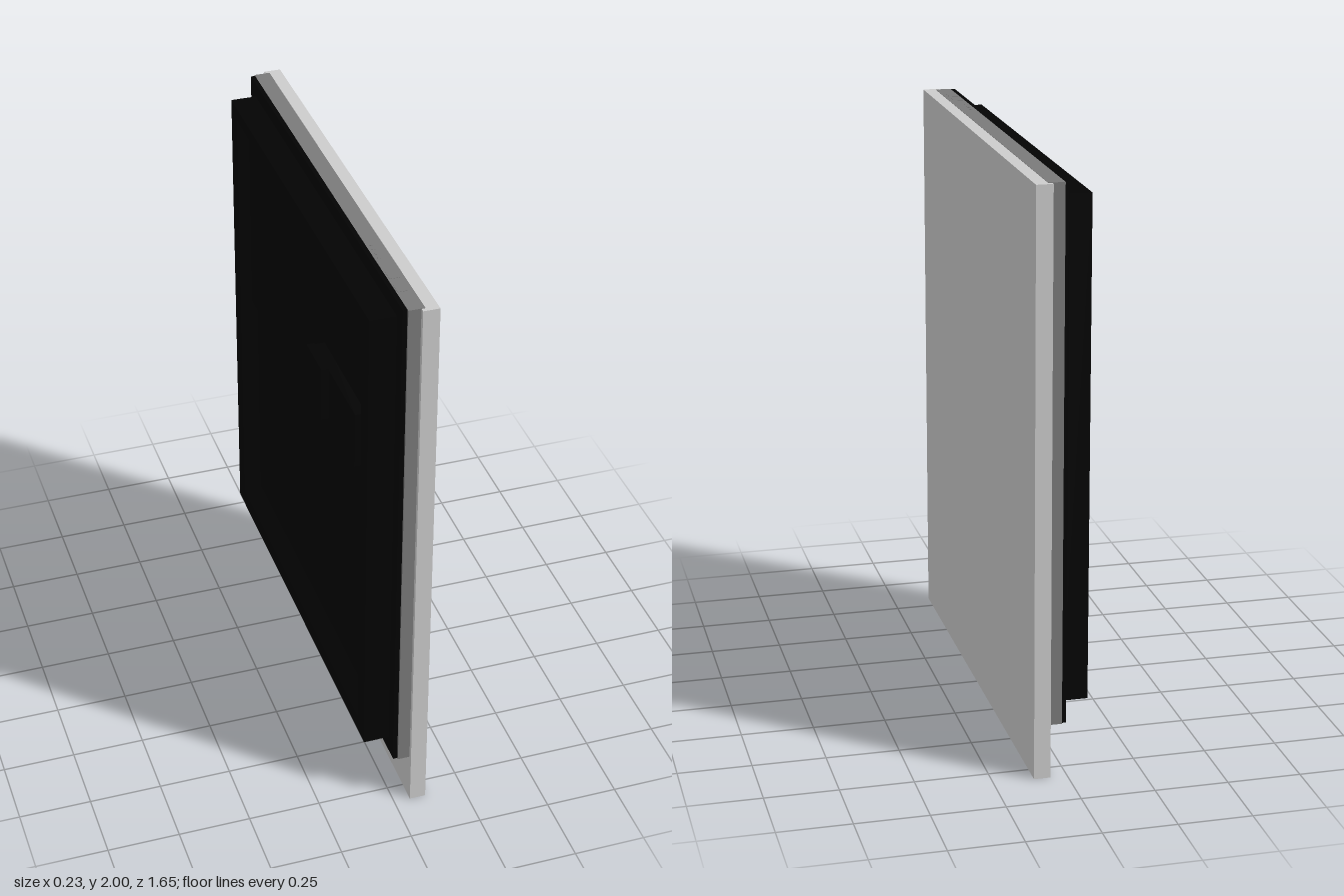
import * as THREE from 'three';

const grey = new THREE.MeshStandardMaterial({ color: 0xcccccc });
const steel = new THREE.MeshStandardMaterial({ color: 0x7a7a7a });
const black = new THREE.MeshStandardMaterial({ color: 0x030303 });
const blackFlat = new THREE.MeshStandardMaterial({ color: 0x030303, flatShading: true, side: THREE.DoubleSide });

export function createModel() {
  const model = new THREE.Group();

  const add = (name, geometry, material) => {
    const mesh = new THREE.Mesh(geometry, material);
    mesh.name = name;
    model.add(mesh);
    return mesh;
  };
  // Box given by its extents
  const box = (name, material, x0, x1, y0, y1, z0, z1) =>
    add(name, new THREE.BoxGeometry(x1 - x0, y1 - y0, z1 - z0), material)
      .position.set((x0 + x1) / 2, (y0 + y1) / 2, (z0 + z1) / 2);
  const outline = points => points.map(p => new THREE.Vector2(...p));
  const rect = (z, y0, y1) => outline([[-z, y0], [z, y0], [z, y1], [-z, y1]]);
  // Outline in (z, y), extruded from x towards -x
  const slab = (name, points, holes, x, depth) => {
    const shape = new THREE.Shape(points);
    shape.holes = holes.map(h => new THREE.Path(h));
    const geometry = new THREE.ExtrudeGeometry(shape, { depth, bevelEnabled: false });
    add(name, geometry.rotateY(-Math.PI / 2), black).position.x = x;
  };

  // Outer panel, door body set into its back, and gasket plate
  box('frontPanel', grey, 0.057, 0.113, 0, 1.998, -0.825, 0.825);
  box('doorBody', steel, 0.015, 0.07, 0.182, 1.999, -0.81, 0.81);
  box('gasketPlate', black, 0, 0.015, 0.182, 1.999, -0.803, 0.803);

  // Inner liner: raised rim around a shallow recess with sloping walls
  slab('linerRim', rect(0.75, 0.237, 1.947), [rect(0.68, 0.3, 1.9)], 0, 0.088);
  const walls = new THREE.CylinderGeometry(Math.SQRT2, Math.SQRT2 * 0.955, 0.053, 4, 1, true)
    .rotateY(Math.PI / 4).rotateZ(Math.PI / 2).scale(1, 0.8, 0.68);
  add('recessWalls', walls, blackFlat).position.set(-0.0615, 1.1, 0);
  box('recessFloor', black, -0.035, 0, 0.3, 1.9, -0.68, 0.68);

  // Upper part of the recess stands proud, its lower edge sweeping up at one end
  const upper = [[-0.66, 1.17], [0.42, 1.17], [0.66, 1.29], [0.66, 1.87], [-0.66, 1.87]];
  slab('upperRecessPanel', outline(upper), [], -0.03, 0.023);

  // Detergent dispenser: base with a raised sliding lid
  box('dispenserBase', black, -0.09, -0.04, 1.32, 1.52, 0.2, 0.63);
  box('dispenserLid', black, -0.115, -0.089, 1.33, 1.525, 0.2, 0.36);

  // Controls on the top edge
  for (const z of [0.6, 0.68]) {
    box('button', steel, 0.02, 0.054, 1.99, 2, z - 0.021, z + 0.021);
  }
  for (const z of [0.41, 0.437, 0.464, 0.491]) {
    add('indicatorLight', new THREE.CylinderGeometry(0.006, 0.006, 0.01, 12), steel)
      .position.set(0.031, 1.995, z);
  }
  return model;
}
